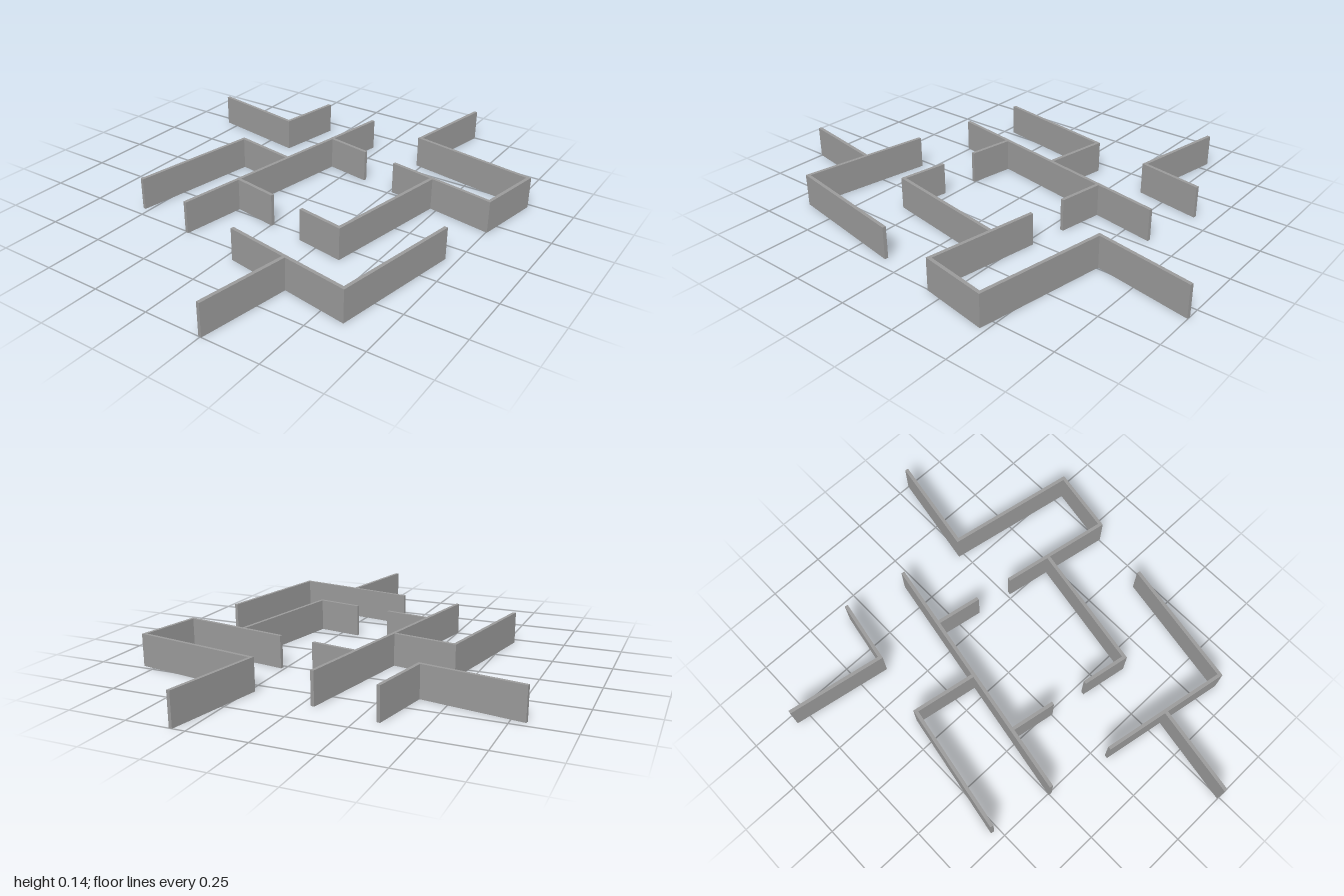
import * as THREE from 'three';

const HEIGHT = 0.14;
const HALF = 0.0075; // half the wall thickness

// Shared grid lines of the plan
const [U0, U1, U2, U3, U4] = [-0.44, -0.154, 0.132, 0.418, 0.704];
const [V0, V1, V2, V3, V4] = [-0.602, -0.316, -0.031, 0.255, 0.541];

// Extrudes a wall along a centre line [u, v], with mitred corners
function wallGeometry(path) {
  const points = path.map(([u, v]) => new THREE.Vector2(u, -v));
  const left = [];
  const right = [];
  points.forEach((p, i) => {
    const dirs = [];
    if (i > 0) dirs.push(p.clone().sub(points[i - 1]).normalize());
    if (i < points.length - 1) dirs.push(points[i + 1].clone().sub(p).normalize());
    const offset = new THREE.Vector2();
    dirs.forEach((d) => offset.add(new THREE.Vector2(-d.y, d.x))); // right-angle corners
    offset.multiplyScalar(HALF);
    left.push(p.clone().add(offset));
    right.push(p.clone().sub(offset));
  });
  const shape = new THREE.Shape([...right, ...left.reverse()]);
  const geometry = new THREE.ExtrudeGeometry(shape, { depth: HEIGHT, bevelEnabled: false });
  return geometry.rotateX(-Math.PI / 2);
}

export function createModel() {
  const model = new THREE.Group();
  model.name = 'mazeWalls';
  const wallGrey = new THREE.MeshStandardMaterial({ color: 0x999999 });
  wallGrey.name = 'wall grey';

  const walls = {
    // back left corner
    backLeftWall: [[-0.877, V1], [U0, V1], [U0, V0]],
    // long spine with its stubs and side branch
    spineWall: [[U1, V0], [U1, V4]],
    spineBackStub: [[U1 + HALF, V1], [0.051, V1]],
    spineFrontStub: [[U1 + HALF, V3], [0.051, V3]],
    spineSideBranch: [[U1 - HALF, V2], [U0, V2], [U0, V4]],
    // back right hook and the wall branching from it
    backRightWall: [[U2, -1.038], [U2, V0], [U4, V0], [U4, V1], [0.213, V1]],
    innerWall: [[U3, V1 + HALF], [U3, V3], [0.213, V3]],
    // front right corner with its outer branch
    frontRightWall: [[U4, V2], [U4, V4], [U2, V4]],
    frontBranch: [[U3, V4 + HALF], [U3, 0.941]],
  };

  for (const [name, path] of Object.entries(walls)) {
    const mesh = new THREE.Mesh(wallGeometry(path), wallGrey);
    mesh.name = name;
    model.add(mesh);
  }

  // The whole plan is turned ten degrees
  model.rotation.y = -THREE.MathUtils.degToRad(10);
  return model;
}
